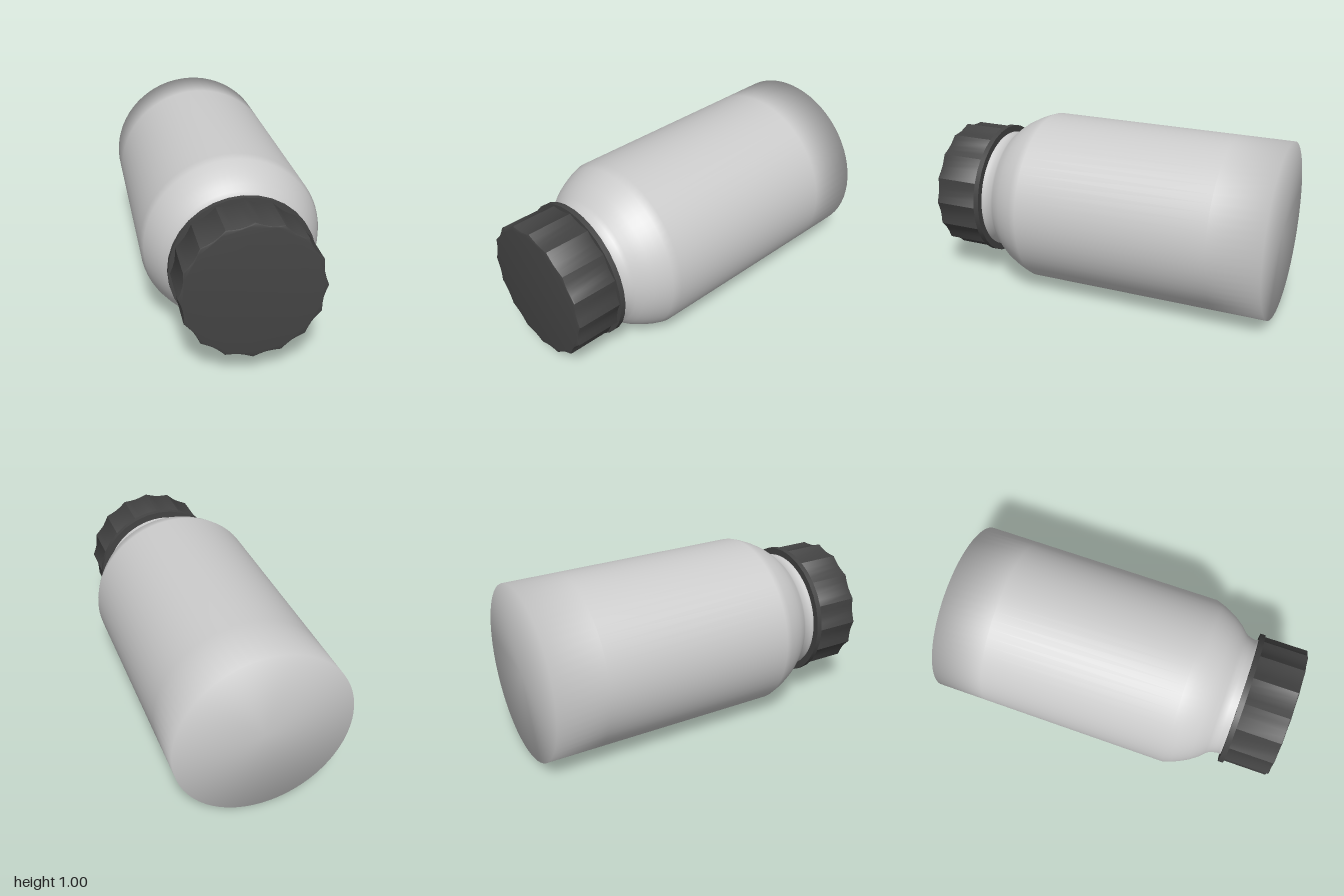
import * as THREE from 'three';
import { toCreasedNormals } from 'three/addons/utils/BufferGeometryUtils.js';

export function createModel() {
  const model = new THREE.Group();
  model.name = 'bottle';
  const grey = new THREE.MeshStandardMaterial({ color: 0xcccccc });
  const dark = new THREE.MeshStandardMaterial({ color: 0x444444 });

  const add = (name, geometry, material) => {
    const mesh = new THREE.Mesh(geometry, material);
    mesh.name = name;
    mesh.position.y = 0.5;
    model.add(mesh);
  };

  // Bottle body: base, straight wall, rounded shoulder and neck (radius, z)
  const profile = [
    [0, -1], [0.5, -1], [0.5, -0.7], [0.5, 0.41], [0.485, 0.455], [0.465, 0.5],
    [0.438, 0.55], [0.405, 0.595], [0.375, 0.625], [0.36, 0.645], [0.352, 0.67],
    [0.347, 0.695], [0.355, 0.72], [0.355, 0.8],
  ].map(([r, z]) => new THREE.Vector2(r, z));
  add('body', new THREE.LatheGeometry(profile, 64).rotateX(Math.PI / 2), grey);

  // Flange ring at the foot of the cap
  const flange = new THREE.CylinderGeometry(0.392, 0.392, 0.03, 32);
  add('capFlange', flange.rotateX(Math.PI / 2).translate(0, 0, 0.725), dark);

  // Cap with sixteen concave flutes meeting in ridges
  const flutes = 16, steps = flutes * 4, outline = [];
  for (let i = 0; i < steps; i++) {
    const a = (i / steps) * Math.PI * 2;
    const r = 0.381 - 0.017 * Math.abs(Math.sin((a * flutes) / 2));
    outline.push(new THREE.Vector2(r * Math.cos(a), r * Math.sin(a)));
  }
  const cap = new THREE.ExtrudeGeometry(new THREE.Shape(outline), {
    depth: 0.254, bevelThickness: 0.008, bevelSize: 0.009, bevelOffset: -0.009, bevelSegments: 2,
  }).translate(0, 0, 0.738);
  add('cap', toCreasedNormals(cap, 0.5), dark);

  return model;
}
